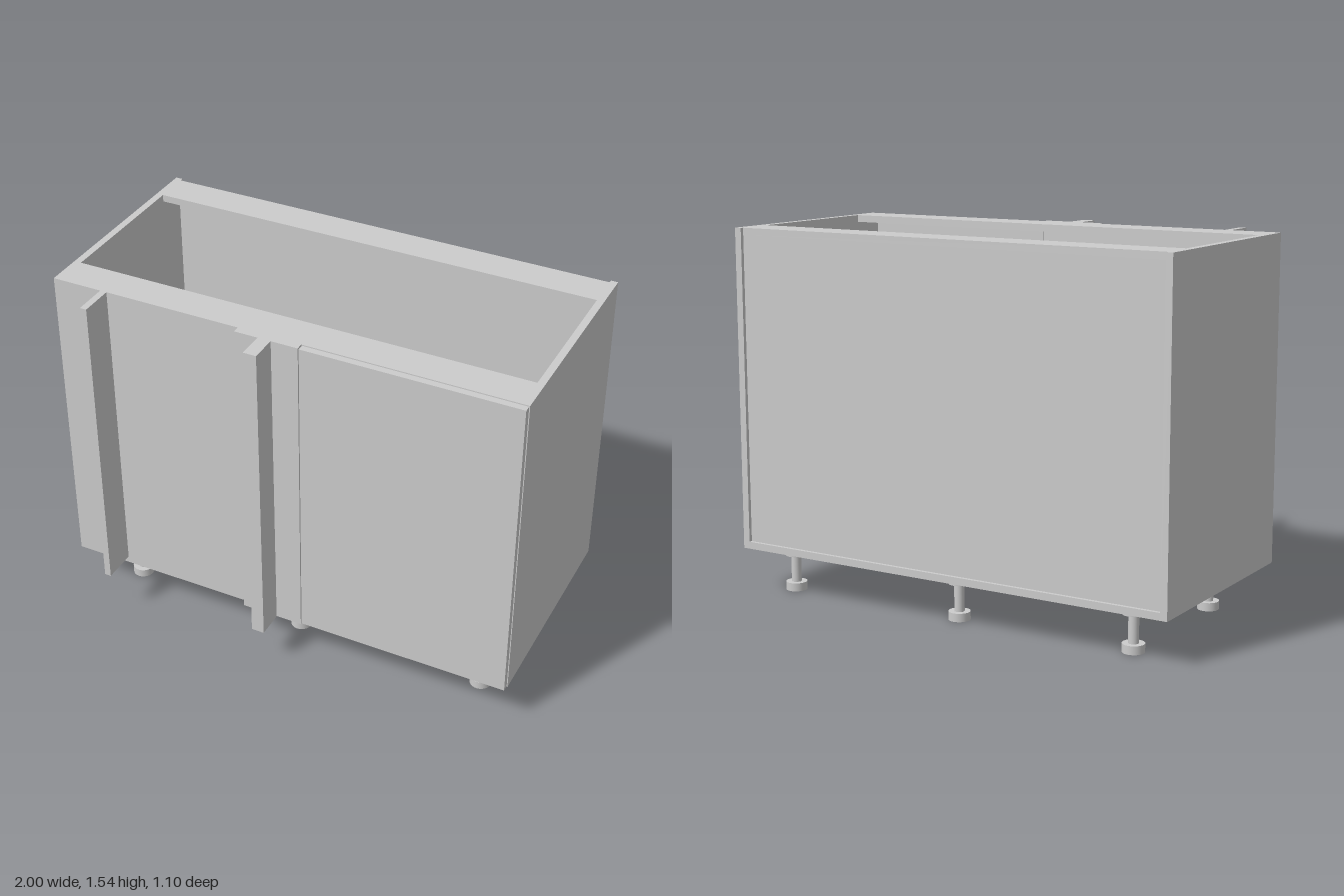
import * as THREE from 'three';

const material = new THREE.MeshStandardMaterial({ color: 0xcccccc });

// Board given by its min and max along each axis
function board(name, x0, x1, y0, y1, z0, z1) {
  const mesh = new THREE.Mesh(new THREE.BoxGeometry(x1 - x0, y1 - y0, z1 - z0), material);
  mesh.position.set((x0 + x1) / 2, (y0 + y1) / 2, (z0 + z1) / 2);
  mesh.name = name;
  return mesh;
}

// Adjustable leg: foot disc, stem and mounting disc
function leg(x, z) {
  const group = new THREE.Group();
  group.name = 'leg';
  const parts = [['foot', 0.045, 0, 0.035], ['stem', 0.021, 0.035, 0.15], ['mount', 0.045, 0.15, 0.185]];
  for (const [name, r, y0, y1] of parts) {
    const mesh = new THREE.Mesh(new THREE.CylinderGeometry(r, r, y1 - y0, 32), material);
    mesh.position.y = (y0 + y1) / 2;
    mesh.name = name;
    group.add(mesh);
  }
  group.position.set(x, 0, z);
  return group;
}

export function createModel() {
  const model = new THREE.Group();
  model.name = 'cornerBaseCabinet';
  const T = 0.03, bottom = 0.185, top = 1.54, back = -0.55, front = 0.405;
  const inner = 1 - T, floor = bottom + T;

  // Carcass
  model.add(
    board('leftSide', inner, 1, bottom, top, back, front),
    board('rightSide', -1, -inner, bottom, top, back, front),
    board('bottomPanel', -inner, inner, bottom, floor, back, front),
    board('backPanel', -inner, inner, floor, top - T, -0.535, -0.518),
    board('backRail', -inner, inner, top - T, top, -0.535, -0.385),
    board('frontRail', -inner, inner, top - T, top, 0.255, front),
  );

  // Fixed front panel, filler strip and door
  model.add(
    board('blindPanel', -inner, 0, floor, top - T, front - T, front),
    board('fillerStrip', -0.175, 0.093, bottom, top, front, 0.435),
    board('door', 0.097, 0.997, 0.19, 1.537, front + 0.002, 0.435),
  );

  // Upright fins standing out from the front
  model.add(
    board('sideFin', -0.785, -0.757, floor, top, front, 0.55),
    board('centreFin', -0.075, -0.02, bottom - 0.002, top, 0.435, 0.55),
  );

  // Legs
  for (const x of [-0.795, -0.005, 0.825]) {
    for (const z of [0.237, -0.42]) model.add(leg(x, z));
  }
  return model;
}
